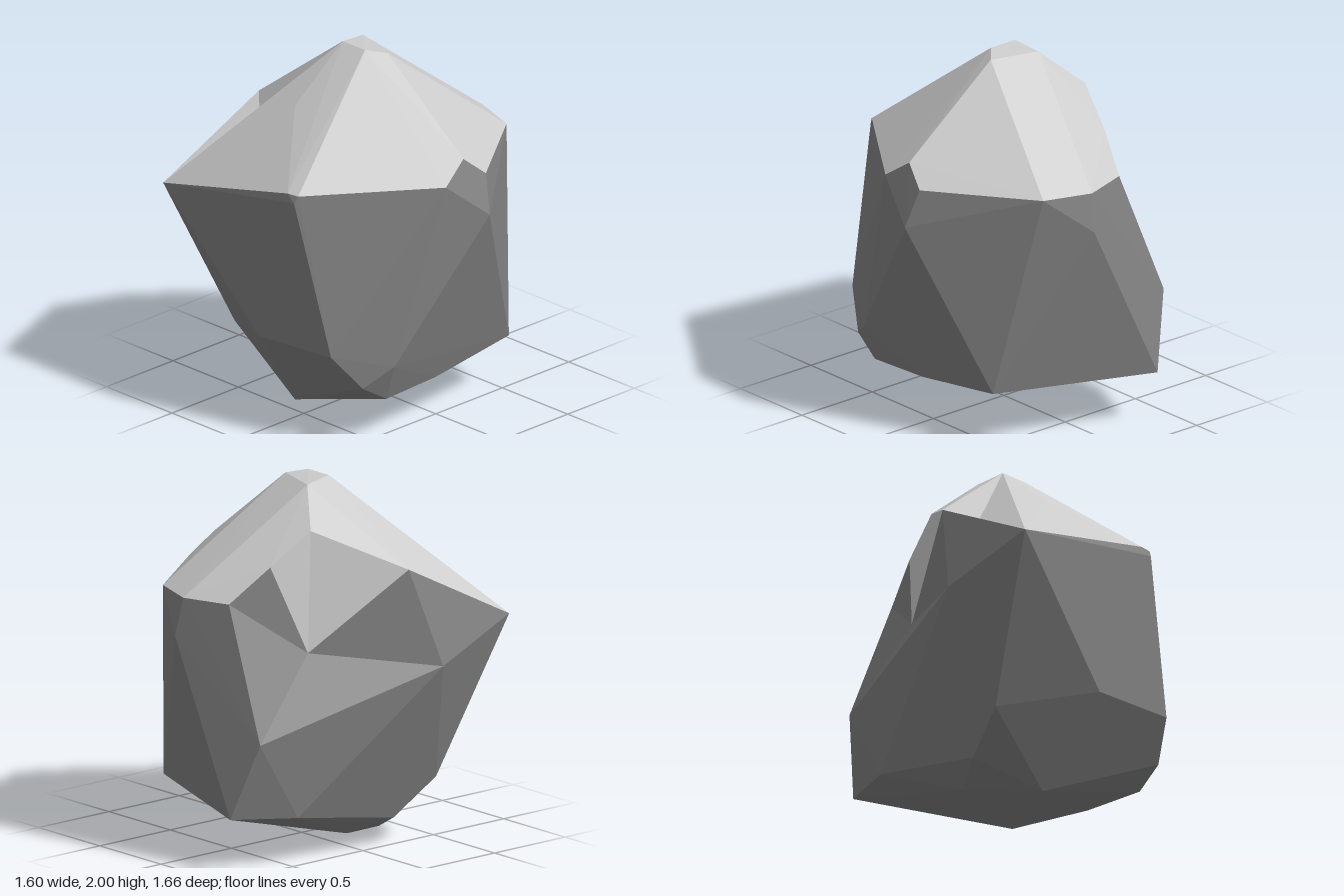
import * as THREE from 'three';
import { ConvexGeometry } from 'three/addons/geometries/ConvexGeometry.js';

const v = (x, y, z) => new THREE.Vector3(x, y, z);
const same = (a, b) => a.distanceTo(b) < 1e-3;

// Split a geometry without index into triangles of three corners
function toTriangles({ attributes: { position } }) {
  const corner = (i) => new THREE.Vector3().fromBufferAttribute(position, i);
  return Array.from({ length: position.count / 3 }, (_, t) => [0, 1, 2].map((k) => corner(3 * t + k)));
}

// Replace the facets lying inside a ring of corners with a fan to a sunken point
function carveDent(triangles, ring, bottom) {
  const kept = [];
  const edges = new Map();
  for (const tri of triangles) {
    const ids = tri.map((p) => ring.findIndex((r) => same(r, p)));
    if (ids.includes(-1)) {
      kept.push(tri);
      continue;
    }
    ids.forEach((a, k) => {
      const b = ids[(k + 1) % 3];
      if (!edges.delete(`${b},${a}`)) edges.set(`${a},${b}`, [ring[a], ring[b], bottom]);
    });
  }
  return [...kept, ...edges.values()];
}

function facetMesh(name, triangles, color) {
  const geometry = new THREE.BufferGeometry().setFromPoints(triangles.flat());
  geometry.computeVertexNormals();
  const mesh = new THREE.Mesh(geometry, new THREE.MeshStandardMaterial({ color, flatShading: true }));
  mesh.name = name;
  return mesh;
}

export function createModel() {
  // Corners shared by the hull and its dents
  const peak = v(-0.14, 2, 0.07);
  const leftRidge = v(-0.36, 1.79, -0.25);
  const leftEave = v(-0.69, 1.57, 0.16);
  const frontSpike = v(-0.74, 1.22, 0.83);
  const sideBulge = v(-0.8, 1.03, 0.31);
  const backLow = v(-0.5, 0.71, -0.73);
  const backEave = v(-0.21, 1.43, -0.7);
  const ridgeMiddle = v(-0.295, 1.615, -0.48);
  const chin = v(-0.09, 0.5, 0.75);
  const chinSide = v(0.44, 0.53, 0.73);
  const chinLow = v(0.53, 0.33, 0.58);
  const foot = v(-0.17, 0, 0.4);

  // Peak and upper ridges
  const crown = [
    v(0.03, 2, 0.07), v(0.11, 1.98, -0.02), v(-0.16, 1.98, -0.1), v(0.69, 1.54, -0.02), v(-0.16, 1.72, 0.41),
  ];
  // Widest band of corners
  const shoulder = [
    v(0.18, 1.43, 0.8), v(0.25, 1.43, 0.79), v(0.21, 1.39, 0.81), v(0.24, 1.39, 0.81),
    v(0.72, 1.43, 0.14), v(0.73, 1.43, -0.15), v(0.8, 1.22, -0.11),
    v(0.33, 1.43, -0.7), v(0.15, 1.24, -0.79), v(0.06, 1.43, -0.79), v(0.08, 1.22, -0.83),
  ];
  // Lower corners and underside
  const base = [
    v(0.62, 0.44, 0.43), v(0.55, 0.23, 0.42), v(0.54, 0.24, 0.04), v(0.53, 0.31, -0.52),
    v(-0.37, 0.29, -0.83), v(-0.52, 0.27, -0.48), v(-0.58, 0.35, 0.45), v(-0.51, 0.15, 0.21),
    v(-0.37, 0.07, 0), v(0.02, 0.07, 0),
  ];

  let facets = toTriangles(new ConvexGeometry([
    ...crown, ...shoulder, ...base,
    peak, leftRidge, leftEave, frontSpike, sideBulge, backLow, backEave, ridgeMiddle,
    chin, chinSide, chinLow, foot,
  ]));

  // Chipped side, shallow crease beside the peak, crease under the front face
  const chipRing = [leftRidge, ridgeMiddle, backEave, backLow, sideBulge, leftEave];
  facets = carveDent(facets, chipRing, v(-0.43, 1.14, -0.33));
  facets = carveDent(facets, [leftRidge, leftEave, frontSpike, peak], leftRidge.clone().lerp(frontSpike, 0.5));
  facets = carveDent(facets, [chin, chinSide, chinLow, foot], chin.clone().lerp(chinLow, 0.5));

  // The pale cap takes the upward facets and those around the left ridge
  const isCap = (tri) =>
    new THREE.Triangle(...tri).getNormal(new THREE.Vector3()).y > 0.5 || tri.some((p) => same(p, leftRidge));

  const group = new THREE.Group();
  group.name = 'boulder';
  group.add(
    facetMesh('paleCap', facets.filter(isCap), 0xcccccc),
    facetMesh('darkBody', facets.filter((tri) => !isCap(tri)), 0x828282),
  );
  return group;
}
